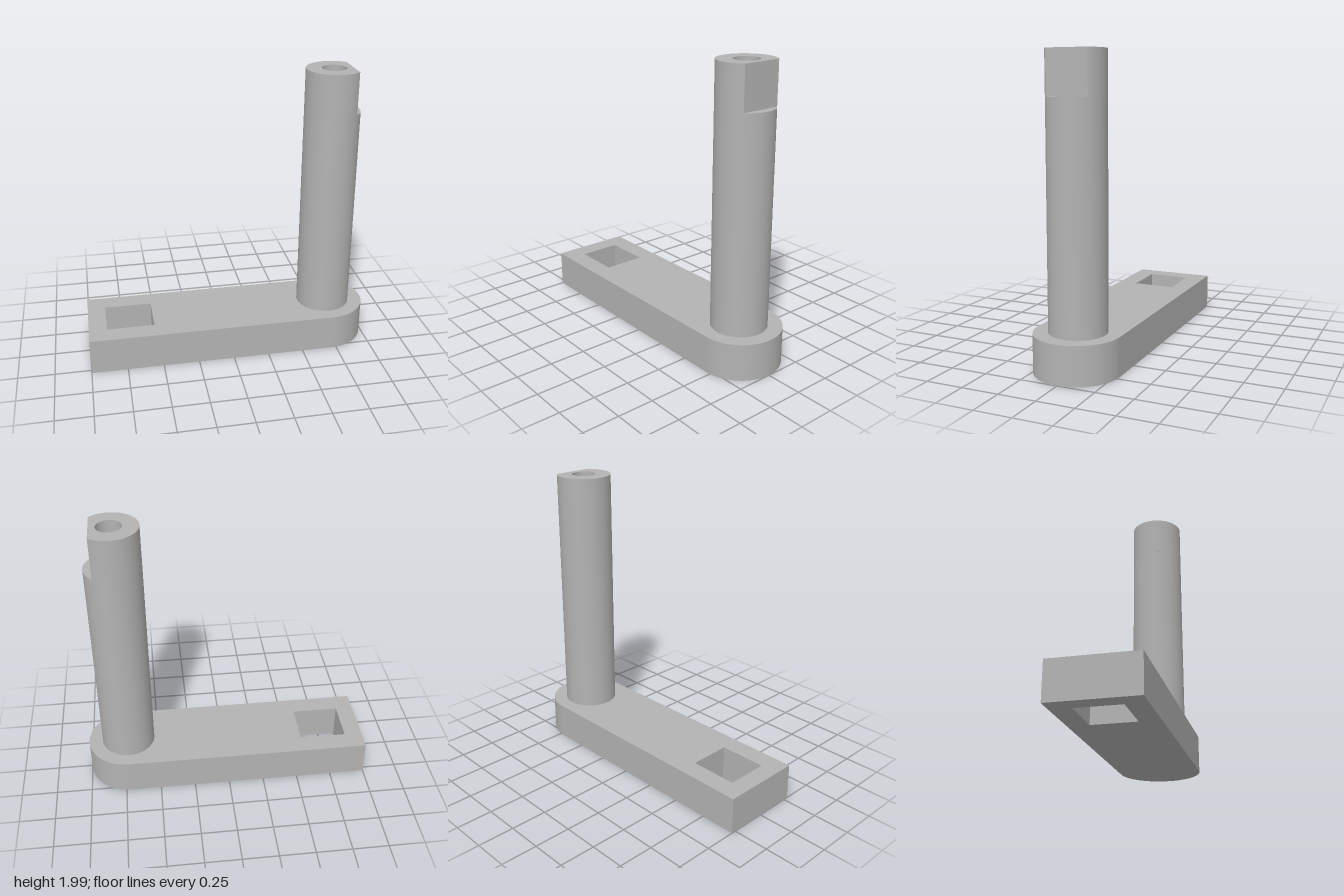
import * as THREE from 'three';
import { toCreasedNormals } from 'three/addons/utils/BufferGeometryUtils.js';

const ARM_HEIGHT = 0.253, ARM_RADIUS = 0.283;
const POST_X = 0.714, POST_RADIUS = 0.188, BORE_RADIUS = 0.083;
const NOTCH_Y = 1.7, TOP_Y = 1.985, FLAT_X = 0.127, BORE_FLOOR_Y = 1.58;

// Extrudes a plan shape (x, -z) upwards from a base height
function extrudeUp(shape, base, height) {
  const geometry = new THREE.ExtrudeGeometry(shape, {
    depth: height, bevelEnabled: false, curveSegments: 64,
  });
  geometry.rotateX(-Math.PI / 2).translate(0, base, 0);
  return toCreasedNormals(geometry, 0.5);
}

export function createModel() {
  const group = new THREE.Group();
  const grey = new THREE.MeshStandardMaterial({ color: 0xb3b3b3 });
  grey.name = 'grey metal';

  const add = (name, geometry, x = 0) => {
    const mesh = new THREE.Mesh(geometry, grey);
    mesh.name = name;
    mesh.position.x = x;
    group.add(mesh);
  };

  // Flat arm: square at one end, rounded at the other, with a through window
  const arm = new THREE.Shape();
  arm.moveTo(-1, -ARM_RADIUS);
  arm.lineTo(1 - ARM_RADIUS, -ARM_RADIUS);
  arm.absarc(1 - ARM_RADIUS, 0, ARM_RADIUS, -Math.PI / 2, Math.PI / 2, false);
  arm.lineTo(-1, ARM_RADIUS);
  arm.closePath();
  arm.holes.push(new THREE.Path([
    [-0.875, -0.147], [-0.875, 0.147], [-0.545, 0.147], [-0.545, -0.147],
  ].map(([x, y]) => new THREE.Vector2(x, y))));
  add('arm', extrudeUp(arm, 0, ARM_HEIGHT));

  // Round post up to the notch ledge, including the lower part of the blind bore
  const profile = [
    [POST_RADIUS, ARM_HEIGHT], [POST_RADIUS, NOTCH_Y], [BORE_RADIUS, NOTCH_Y],
    [BORE_RADIUS, BORE_FLOOR_Y], [0, BORE_FLOOR_Y],
  ].map(([r, y]) => new THREE.Vector2(r, y));
  add('post', toCreasedNormals(new THREE.LatheGeometry(profile, 64), 0.5), POST_X);

  // D-shaped post tip with a flat on the +x side and the bore opening
  const angle = Math.acos(FLAT_X / POST_RADIUS);
  const tip = new THREE.Shape();
  tip.absarc(0, 0, POST_RADIUS, angle, 2 * Math.PI - angle, false);
  tip.closePath();
  tip.holes.push(new THREE.Path().absarc(0, 0, BORE_RADIUS, 0, 2 * Math.PI, true));
  add('postTip', extrudeUp(tip, NOTCH_Y, TOP_Y - NOTCH_Y), POST_X);

  return group;
}
